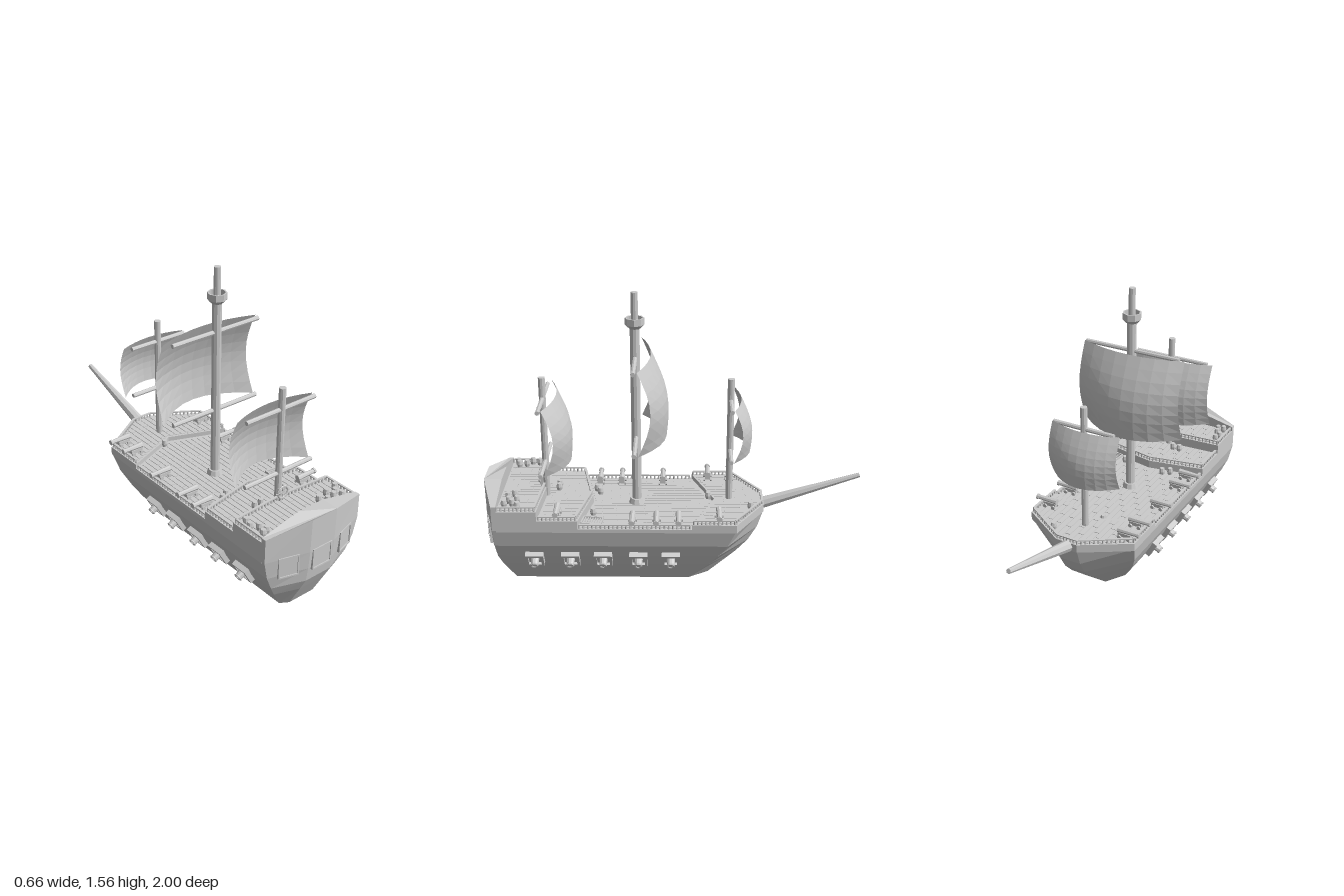
import * as THREE from 'three';
import { mergeGeometries } from 'three/addons/utils/BufferGeometryUtils.js';

const flat = new THREE.MeshStandardMaterial({ color: 0xcccccc, flatShading: true });
const cloth = new THREE.MeshStandardMaterial({ color: 0xcccccc, flatShading: true, side: THREE.DoubleSide });

function add(parent, name, geo, x = 0, y = 0, z = 0, mat = flat) {
  const m = new THREE.Mesh(geo, mat);
  m.name = name;
  m.position.set(x, y, z);
  parent.add(m);
  return m;
}
const group = (parent, name) => {
  const g = new THREE.Group();
  g.name = name;
  parent.add(g);
  return g;
};
const box = (w, h, d, x = 0, y = 0, z = 0) => new THREE.BoxGeometry(w, h, d).translate(x, y, z);
const cyl = (rt, rb, h, n = 8) => new THREE.CylinderGeometry(rt, rb, h, n);

// Closed solid through rings of [x, y, z] points, counterclockwise from above
function loft(rings) {
  const n = rings[0].length, pos = rings.flat(2), idx = [], top = (rings.length - 1) * n;
  for (let r = 0; r < rings.length - 1; r++)
    for (let i = 0; i < n; i++) {
      const a = r * n + i, b = r * n + (i + 1) % n;
      idx.push(a, b, b + n, a, b + n, a + n);
    }
  for (let i = 1; i < n - 1; i++) idx.push(0, i + 1, i, top, top + i, top + i + 1);
  const g = new THREE.BufferGeometry();
  g.setAttribute('position', new THREE.Float32BufferAttribute(pos, 3));
  g.setIndex(idx);
  g.computeVertexNormals();
  return g;
}

// Square frame facing +z
function frame(w, h, border, depth) {
  const rect = (C, a, b) => new C([[-a, -b], [a, -b], [a, b], [-a, b]].map(p => new THREE.Vector2(...p)));
  const s = rect(THREE.Shape, w / 2, h / 2);
  s.holes.push(rect(THREE.Path, w / 2 - border, h / 2 - border));
  return new THREE.ExtrudeGeometry(s, { depth, bevelEnabled: false });
}

// Row of balusters under a handrail along [x, z] points
function railing(parent, pts, y) {
  const parts = [], h = 0.022;
  for (let i = 0; i < pts.length - 1; i++) {
    const [x0, z0] = pts[i], [x1, z1] = pts[i + 1];
    const len = Math.hypot(x1 - x0, z1 - z0), n = Math.max(1, Math.round(len / 0.022));
    parts.push(box(0.012, 0.006, len).rotateY(Math.atan2(x1 - x0, z1 - z0))
      .translate((x0 + x1) / 2, y + h, (z0 + z1) / 2));
    for (let k = 0; k <= n; k++)
      parts.push(cyl(0.004, 0.006, h, 5).translate(x0 + (x1 - x0) * k / n, y + h / 2, z0 + (z1 - z0) * k / n));
  }
  add(parent, 'railing', mergeGeometries(parts));
}

// Deck outlines: stepped edges are chevrons, the bow tapers
const W = 0.31;
const chevron = (c, s) => x => c + (s - c) * Math.abs(x) / W;
const bow = x => -0.485 + 0.155 * Math.max(0, Math.abs(x) - 0.06) / 0.25;
const stepA = chevron(-0.22, -0.1), stepB = chevron(0.43, 0.49), stepC = chevron(0.68, 0.7);
const XS = [-W, -0.06, 0, 0.06, W];
const decks = [
  { name: 'foredeck', y: 0.415, front: bow, back: stepA, rail: bow },
  { name: 'mainDeck', y: 0.39, front: stepA, back: stepB },
  { name: 'middleDeck', y: 0.435, front: stepB, back: stepC, rail: stepB },
  { name: 'quarterdeck', y: 0.487, front: stepC, back: () => 0.91, rail: stepC },
];

function buildDeck(parent, d) {
  const g = group(parent, d.name);
  const outline = [...XS.map(x => [x, d.front(x)]), ...XS.map(x => [-x, d.back(x)])];
  const shape = new THREE.Shape(outline.map(([x, z]) => new THREE.Vector2(x, -z)));
  const y0 = 0.37;
  add(g, 'deckBody', new THREE.ExtrudeGeometry(shape, { depth: d.y - y0, bevelEnabled: false })
    .rotateX(-Math.PI / 2), 0, y0);
  // Staggered planks
  const planks = [];
  for (let i = -9; i <= 9; i++) {
    const x = i * 0.031, end = d.back(x) - 0.012;
    let z = d.front(x) + 0.015, len = 0.05 + 0.03 * ((i + 9) * 2 % 5);
    while (z < end - 0.01) {
      const e = Math.min(end, z + len);
      planks.push(box(0.028, 0.004, e - z - 0.003, x, d.y + 0.001, (z + e) / 2));
      z = e;
      len = 0.15;
    }
  }
  add(g, 'planks', mergeGeometries(planks));
  for (const s of [-1, 1]) railing(g, [[s * 0.3, d.front(W) + 0.01], [s * 0.3, d.back(W) - 0.01]], d.y);
  if (d.rail) railing(g, XS.map(x => [x * 0.96, d.rail(x) + 0.01]), d.y);
}

// Deck gun pointing to +x
function deckGun(parent, side, y, z) {
  const g = group(parent, 'deckCannon');
  g.position.set(side * 0.26, y, z);
  g.rotation.y = side > 0 ? 0 : Math.PI;
  add(g, 'barrel', cyl(0.011, 0.016, 0.12).rotateZ(-Math.PI / 2), 0.005, 0.043);
  add(g, 'muzzle', cyl(0.015, 0.015, 0.012).rotateZ(-Math.PI / 2), 0.062, 0.043);
  add(g, 'carriage', box(0.07, 0.02, 0.03), -0.015, 0.024);
  for (const x of [-0.04, 0.01]) for (const w of [-0.019, 0.019])
    add(g, 'wheel', cyl(0.011, 0.011, 0.008).rotateX(Math.PI / 2), x, 0.012, w);
}

// Gun port set square to the sloping hull side
function gunPort(parent, side, z) {
  const g = group(parent, 'gunPort');
  g.position.set(side * 0.247, 0.19, z);
  g.rotation.y = side > 0 ? 0 : Math.PI;
  const tilt = group(g, 'portParts');
  tilt.rotation.z = -0.5;
  add(tilt, 'portFrame', frame(0.095, 0.095, 0.014, 0.03).rotateY(Math.PI / 2), -0.005);
  add(tilt, 'portPanel', box(0.02, 0.08, 0.08));
  add(tilt, 'barrel', cyl(0.018, 0.024, 0.05, 10).rotateZ(-Math.PI / 2), 0.025);
  add(tilt, 'muzzleRing', new THREE.TorusGeometry(0.017, 0.005, 5, 10).rotateY(Math.PI / 2), 0.05);
}

// Billowing sail between two yards
function sail(parent, name, z, x0, x1, y0, y1, k) {
  const g = group(parent, name);
  const geo = new THREE.PlaneGeometry(2, 1, 8, 8), p = geo.attributes.position;
  for (let i = 0; i < p.count; i++) {
    const u = p.getX(i), v = 0.5 - p.getY(i);
    const belly = 0.02 + 0.065 * Math.sin(Math.PI * v) + (0.06 + 0.08 * v * v) * (1 - u * u);
    p.setXYZ(i, x0 + (x1 - x0) * (u + 1) / 2, y1 + (y0 - y1) * v, z - k * belly);
  }
  geo.computeVertexNormals();
  add(g, 'sailCloth', geo, 0, 0, 0, cloth);
  for (const y of [y0 + 0.003, y1 - 0.01])
    add(g, 'yard', cyl(0.012, 0.012, x1 - x0 - 0.04).rotateZ(Math.PI / 2), (x0 + x1) / 2 + 0.02, y, z);
}

export function createModel() {
  const ship = new THREE.Group();
  ship.name = 'sailingShip';
  ship.position.x = -0.005;

  // Hull levels: height, half width, stern side z, stern z, bow side z, bow z
  const levels = [
    [0, 0.125, 0.85, 0.877, -0.085, -0.19], [0.13, 0.212, 0.9, 0.945, -0.19, -0.34],
    [0.2, 0.252, 0.92, 0.98, -0.235, -0.405], [0.28, 0.288, 0.927, 0.99, -0.285, -0.452],
    [0.38, W, 0.93, 0.997, -0.328, -0.484]];
  add(ship, 'hull', loft(levels.map(([y, w, zs, zc, zb, zf]) => [
    [0.08, y, zc], [w, y, zs], [w, y, zb], [0.06, y, zf],
    [-0.06, y, zf], [-w, y, zb], [-w, y, zs], [-0.08, y, zc]])));
  const transom = [[0.08, 1], [W, 0.93], [W, 0.905], [0.08, 0.905], [-0.08, 0.905], [-W, 0.905], [-W, 0.93], [-0.08, 1]];
  add(ship, 'transom', loft([
    transom.map(([x, z]) => [x, 0.38, Math.min(z, 0.997)]),
    transom.map(([x, z]) => [x, Math.abs(x) < 0.1 ? 0.565 : 0.513, z])]));

  // Stern windows
  for (const [x, z, turn, w] of [[0, 0.99, 0, 0.125], [0.185, 0.959, 0.28, 0.11], [-0.185, 0.959, -0.28, 0.11]]) {
    const g = group(ship, 'sternWindow');
    g.position.set(x, 0.328, z);
    g.rotation.y = turn;
    add(g, 'windowFrame', frame(w, 0.118, 0.008, 0.012));
    add(g, 'windowPane', box(w - 0.01, 0.108, 0.014));
  }

  for (const d of decks) buildDeck(ship, d);

  for (const z of [0.725, 0.537, 0.365, 0.18, 0.01]) for (const s of [-1, 1]) gunPort(ship, s, z);
  for (const [s, y, z] of [[1, 0.415, -0.24], [1, 0.39, -0.03], [1, 0.39, 0.085], [1, 0.39, 0.21], [1, 0.435, 0.6],
    [-1, 0.415, -0.31], [-1, 0.415, -0.19], [-1, 0.39, 0.06], [-1, 0.39, 0.29], [-1, 0.39, 0.41]]) deckGun(ship, s, y, z);

  // Masts, crow's nest and bowsprit
  const mast = (name, r, y0, y1, z) => add(ship, name, cyl(r, r, y1 - y0, 10), -0.005, (y0 + y1) / 2, z);
  mast('mainMast', 0.025, 0.37, 1.38, 0.195);
  mast('mainTopmast', 0.018, 1.38, 1.557, 0.195);
  mast('foreMast', 0.018, 0.37, 1.1, -0.3);
  mast('mizzenMast', 0.018, 0.4, 1.105, 0.68);
  add(ship, 'mastCollar', cyl(0.035, 0.045, 0.03, 10), -0.005, 0.405, 0.195);
  const nest = [[0, 1.37], [0.03, 1.37], [0.05, 1.39], [0.05, 1.425], [0.042, 1.425], [0.042, 1.395], [0, 1.395]];
  add(ship, 'crowsNest', new THREE.LatheGeometry(nest.map(p => new THREE.Vector2(...p)), 8), -0.005, 0, 0.195);
  const a = new THREE.Vector3(-0.005, 0.365, -0.4), b = new THREE.Vector3(-0.005, 0.558, -0.996);
  const sprit = add(ship, 'bowsprit', cyl(0.013, 0.035, a.distanceTo(b)));
  sprit.position.copy(a).lerp(b, 0.5);
  sprit.quaternion.setFromUnitVectors(new THREE.Vector3(0, 1, 0), b.clone().sub(a).normalize());

  sail(ship, 'mainSail', 0.195, -0.32, 0.265, 0.775, 1.225, 1);
  sail(ship, 'mizzenSail', 0.68, -0.265, 0.21, 0.635, 1.0, 0.85);
  sail(ship, 'foreSail', -0.3, -0.215, 0.17, 0.7, 0.99, 0.68);

  // Steering wheel
  const wheel = group(ship, 'steeringWheel');
  wheel.position.set(-0.005, 0.543, 0.715);
  add(wheel, 'wheelRim', new THREE.TorusGeometry(0.032, 0.005, 6, 16));
  for (let i = 0; i < 4; i++) add(wheel, 'spoke', box(0.005, 0.09, 0.005)).rotation.z = i * Math.PI / 4;
  add(wheel, 'wheelStand', box(0.02, 0.06, 0.02), 0, -0.027, -0.015);

  // Barrels and hatch grating
  const barrel = [[0, 0], [0.013, 0], [0.017, 0.02], [0.013, 0.04], [0, 0.04]].map(p => new THREE.Vector2(...p));
  for (const [x, z, y] of [[-0.27, 0.75, 0.487], [-0.28, 0.79, 0.487], [-0.25, 0.82, 0.487], [-0.24, 0.86, 0.487],
    [-0.27, 0.87, 0.487], [0.13, 0.83, 0.487], [0.16, 0.86, 0.487], [0.2, 0.81, 0.487], [0.21, 0.85, 0.487],
    [0.24, 0.83, 0.487], [0.25, 0.87, 0.487], [0.27, 0.8, 0.487], [-0.1, 0.62, 0.435], [-0.06, 0.62, 0.435],
    [-0.14, 0.42, 0.39], [-0.1, 0.4, 0.39], [0.15, 0.42, 0.39], [-0.05, -0.19, 0.39], [0.12, -0.41, 0.415]])
    add(ship, 'barrel', new THREE.LatheGeometry(barrel, 8), x, y, z);
  const hatch = group(ship, 'hatchGrating');
  hatch.position.set(0.235, 0.395, 0.42);
  hatch.rotation.y = -0.12;
  add(hatch, 'hatchFrame', frame(0.08, 0.11, 0.008, 0.012).rotateX(-Math.PI / 2));
  for (let i = -3; i <= 3; i++) add(hatch, 'slat', box(0.07, 0.006, 0.006), 0, 0.006, i * 0.013);
  return ship;
}
